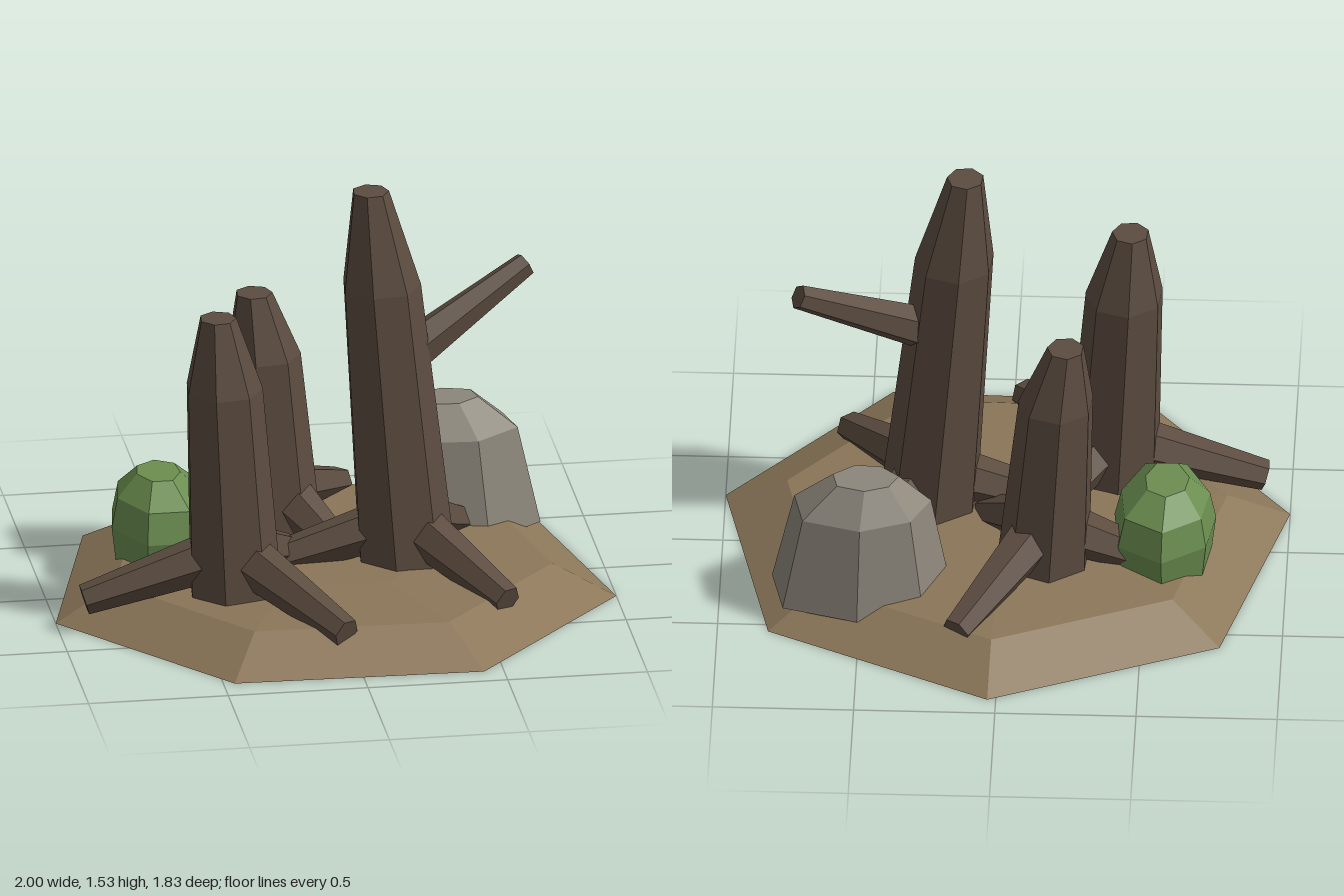
import * as THREE from 'three';

const mat = (color) => new THREE.MeshStandardMaterial({ color, flatShading: true });

// Closed faceted skin through rings that run from bottom to top
function loft(rings) {
  const pos = [];
  const add = (...pts) => pts.forEach((p) => pos.push(p[0], p[1], p[2]));
  const n = rings[0].length;
  const mid = (r) => [0, 1, 2].map((k) => r.reduce((s, p) => s + p[k], 0) / n);
  const low = rings[0], high = rings[rings.length - 1];
  const lowMid = mid(low), highMid = mid(high);
  for (let i = 0; i < n; i++) {
    const j = (i + 1) % n;
    for (let r = 0; r + 1 < rings.length; r++) {
      const a = rings[r], b = rings[r + 1];
      add(a[i], b[i], a[j], a[j], b[i], b[j]);
    }
    add(lowMid, low[i], low[j], highMid, high[j], high[i]);
  }
  const g = new THREE.BufferGeometry();
  g.setAttribute('position', new THREE.Float32BufferAttribute(pos, 3));
  g.computeVertexNormals();
  return g;
}

// Stack scaled copies of an [x, z] outline; levels are [y, scale]
function stack(outline, cx, cz, levels) {
  return loft(levels.map(([y, s]) =>
    outline.map(([x, z]) => [cx + (x - cx) * s, y, cz + (z - cz) * s])));
}

// Horizontal regular ring
function ring(x, y, z, r, sides = 7, phase = 0.1) {
  return Array.from({ length: sides }, (_, i) => {
    const a = phase + (i / sides) * Math.PI * 2;
    return [x + Math.cos(a) * r, y, z + Math.sin(a) * r];
  });
}

// Tapered six-sided limb between two points
function limb(from, to, r0, r1, material, name) {
  const a = new THREE.Vector3(...from), b = new THREE.Vector3(...to);
  const dir = b.clone().sub(a);
  const m = new THREE.Mesh(new THREE.CylinderGeometry(r1, r0, dir.length(), 6), material);
  m.position.copy(a).add(b).multiplyScalar(0.5);
  m.quaternion.setFromUnitVectors(new THREE.Vector3(0, 1, 0), dir.normalize());
  m.name = name;
  return m;
}

export function createModel() {
  const model = new THREE.Group();
  const wood = mat(0x5c4c40);
  const put = (geometry, material, name) => {
    const m = new THREE.Mesh(geometry, material);
    m.name = name;
    model.add(m);
  };

  // Low seven-sided mound
  const moundOutline = [[0.03, -0.92], [0.82, -0.54], [1, 0.27], [0.43, 0.91],
    [-0.46, 0.89], [-1, 0.23], [-0.78, -0.58]];
  put(stack(moundOutline, 0, 0, [[0, 1], [0.115, 0.78], [0.14, 0.4]]), mat(0x8b7658), 'mound');

  // Trunks: rings are [x, y, z, radius]; root tips are [x, z]
  const trunks = [
    { name: 'tallTrunk',
      rings: [[0.275, 0.08, 0.1, 0.18], [0.182, 1.17, 0.105, 0.143], [0.145, 1.53, 0.107, 0.066]],
      roots: [[0.57, 0.54], [-0.28, 0.09], [0.53, -0.24]] },
    { name: 'frontTrunk',
      rings: [[-0.37, 0.08, 0.3, 0.17], [-0.412, 0.89, 0.305, 0.14], [-0.432, 1.16, 0.308, 0.066]],
      roots: [[-0.91, 0.305], [-0.04, 0.76], [-0.09, -0.04]] },
    { name: 'backTrunk',
      rings: [[-0.145, 0.08, -0.23, 0.17], [-0.19, 0.8, -0.225, 0.135], [-0.222, 1.035, -0.222, 0.066]],
      roots: [[0.15, -0.67], [-0.57, -0.23], [0.07, 0.05]] },
  ];
  for (const { name, rings, roots } of trunks) {
    const group = new THREE.Group();
    group.name = name;
    const trunk = new THREE.Mesh(loft(rings.map((r) => ring(...r))), wood);
    trunk.name = 'trunk';
    group.add(trunk);
    const [cx, , cz] = rings[0];
    for (const [x, z] of roots) {
      // Each root starts just inside the trunk and slopes into the mound
      const d = Math.hypot(x - cx, z - cz);
      const k = 0.09 / d;
      const start = [cx + (x - cx) * k, 0.25, cz + (z - cz) * k];
      group.add(limb(start, [x, 0.115, z], 0.09, 0.055, wood, 'root'));
    }
    model.add(group);
  }

  // Broken side branch on the tall trunk
  model.add(limb([0.28, 0.89, 0.08], [0.73, 1.14, -0.09], 0.08, 0.045, wood, 'branch'));

  // Boulder
  const boulderOutline = [[0.185, -0.31], [0.275, -0.485], [0.505, -0.57], [0.77, -0.495],
    [0.815, -0.295], [0.61, -0.145], [0.36, -0.16]];
  put(stack(boulderOutline, 0.47, -0.355,
    [[0.07, 1], [0.43, 0.77], [0.545, 0.37]]), mat(0x8c867a), 'boulder');

  // Bush
  const bushOutline = [[-0.565, -0.385], [-0.41, -0.29], [-0.39, -0.09], [-0.48, 0.095],
    [-0.65, 0.095], [-0.75, -0.095], [-0.72, -0.28]];
  put(stack(bushOutline, -0.585, -0.14,
    [[0.08, 0.9], [0.22, 1], [0.33, 0.87], [0.41, 0.43]]), mat(0x6b8e50), 'bush');

  return model;
}
